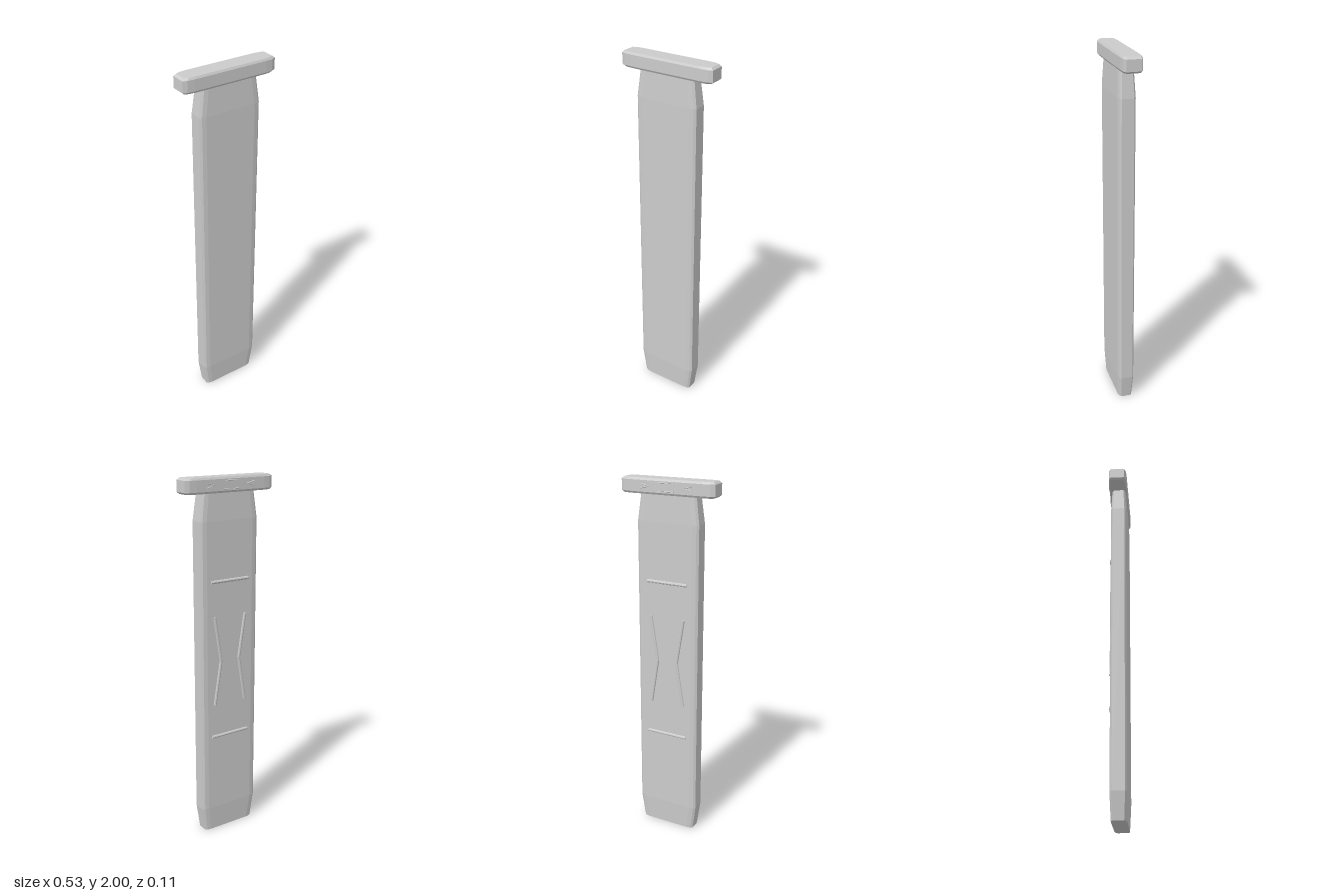
import * as THREE from 'three';

const material = new THREE.MeshStandardMaterial({ color: 0xcccccc, flatShading: true, side: THREE.DoubleSide });

// Cross-section with stepped corner bevels, counter-clockwise in (x, z)
function section(hx, hz, bevels) {
  const q = bevels.map(([bx, bz]) => [hx - bx, hz - bz]);
  const r = [...q].reverse();
  return [
    ...q,
    ...r.map(([x, z]) => [-x, z]),
    ...q.map(([x, z]) => [-x, -z]),
    ...r.map(([x, z]) => [x, -z]),
  ];
}

// Closed loft through rings of equal point count, stacked upward
function loft(name, rings, zOffset) {
  const n = rings[0].pts.length, pos = [], idx = [];
  for (const { y, pts } of rings) for (const [x, z] of pts) pos.push(x, y, z + zOffset);
  for (let k = 0; k < rings.length - 1; k++) {
    for (let i = 0; i < n; i++) {
      const j = (i + 1) % n, a = k * n + i, b = k * n + j;
      idx.push(a, a + n, b, b, a + n, b + n);
    }
  }
  const top = (rings.length - 1) * n;
  for (let i = 1; i < n - 1; i++) {
    idx.push(0, i, i + 1);
    idx.push(top, top + i + 1, top + i);
  }
  const g = new THREE.BufferGeometry();
  g.setAttribute('position', new THREE.Float32BufferAttribute(pos, 3));
  g.setIndex(idx);
  const flat = g.toNonIndexed();
  flat.computeVertexNormals();
  const mesh = new THREE.Mesh(flat, material);
  mesh.name = name;
  return mesh;
}

// Raised faceted bar between two points on a back surface at depth z
function ridge(name, x1, y1, x2, y2, z, radius, height) {
  const dx = x2 - x1, dy = y2 - y1;
  const geo = new THREE.CylinderGeometry(radius, radius, Math.hypot(dx, dy), 8);
  geo.scale(1, 1, height / radius);
  const mesh = new THREE.Mesh(geo, material);
  mesh.position.set((x1 + x2) / 2, (y1 + y2) / 2, z);
  mesh.rotation.z = Math.atan2(-dx, dy);
  mesh.name = name;
  return mesh;
}

// Two horizontal bars with a pair of inward-pointing chevrons
function pattern(name, p) {
  const g = new THREE.Group();
  g.name = name;
  for (const s of [1, -1]) {
    const y = p.y + s * p.barY;
    g.add(ridge('crossBar', -p.barX, y, p.barX, y, p.z, p.r, p.h));
    for (const side of [1, -1]) {
      g.add(ridge('chevronArm', side * p.inX, p.y, side * p.outX, p.y + s * p.armY, p.z, p.r, p.h));
    }
  }
  return g;
}

export function createModel() {
  const model = new THREE.Group();
  model.name = 'cappedSlab';

  // Long body, tapered at both ends
  const bodyBevel = [[0, 0.013], [0.012, 0.004], [0.035, 0]];
  const bodyRings = [
    [0, 0.159, 0.04], [0.14, 0.178, 0.046], [1.78, 0.178, 0.046], [1.925, 0.159, 0.04],
  ].map(([y, hx, hz]) => ({ y, pts: section(hx, hz, bodyBevel) }));
  model.add(loft('body', bodyRings, 0.004));

  // Wide bevelled cap
  const capBevel = [[0, 0.013], [0.022, 0.003], [0.06, 0]];
  const capRings = [
    [1.92, 0.255, 0.046], [1.93, 0.267, 0.052], [1.989, 0.267, 0.052], [2, 0.255, 0.046],
  ].map(([y, hx, hz]) => ({ y, pts: section(hx, hz, capBevel) }));
  model.add(loft('cap', capRings, 0.001));

  // Relief on the back of the body and the cap
  model.add(pattern('bodyRelief', {
    y: 1.025, z: -0.042, barX: 0.118, barY: 0.44, inX: 0.058, outX: 0.098, armY: 0.25, r: 0.009, h: 0.008,
  }));
  model.add(pattern('capRelief', {
    y: 1.96, z: -0.051, barX: 0.045, barY: 0.021, inX: 0.1, outX: 0.145, armY: 0.012, r: 0.002, h: 0.004,
  }));
  return model;
}
